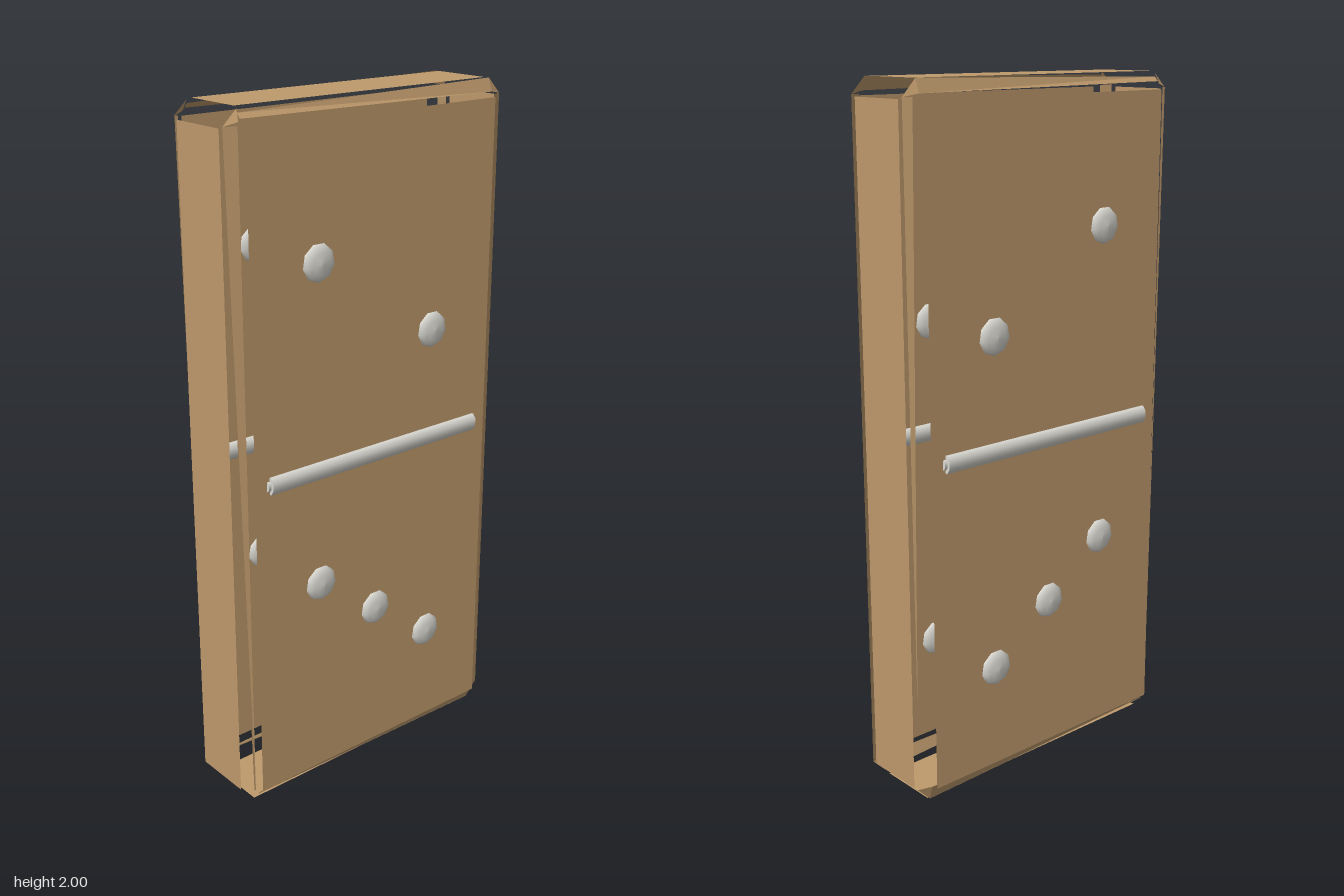
import * as THREE from 'three';

const wood = new THREE.MeshStandardMaterial({ color: 0xbf9a6c, side: THREE.DoubleSide, flatShading: true });
wood.name = 'wood';
const inlay = new THREE.MeshStandardMaterial({ color: 0xdad9d2 });
inlay.name = 'pale inlay';

const HX = 0.473, HZ = 0.137, BEVEL = 0.046; // half width, half depth, edge gap
const IX = HX - BEVEL, IZ = HZ - BEVEL;

function add(group, name, geometry, material) {
  const mesh = new THREE.Mesh(geometry, material);
  mesh.name = name;
  group.add(mesh);
  return mesh;
}

// Flat facet through three or four corners
function facet(corners) {
  const g = new THREE.BufferGeometry();
  g.setAttribute('position', new THREE.Float32BufferAttribute(corners.flat(), 3));
  g.setIndex(corners.length === 4 ? [0, 1, 2, 0, 2, 3] : [0, 1, 2]);
  g.computeVertexNormals();
  return g;
}

// Loose chamfer slivers around one face; s is the face's z side
function chamfers(s) {
  const g = new THREE.Group();
  g.name = s > 0 ? 'frontChamfers' : 'backChamfers';
  const o = 0.106 * s, i = 0.119 * s; // outer and inner depth
  const strips = {
    topChamfer: [[-0.43, 1.985, o], [0.43, 2, o], [0.43, 1.963, i], [-0.43, 1.972, i]],
    bottomChamfer: [[-0.43, 0.035, i], [0.43, 0.05, i], [0.43, 0.006, o], [-0.43, 0.032, i]],
    topRightCorner: [[0.43, 2, o], [0.473, 1.955, o], [0.43, 1.963, i]],
    topLeftCorner: [[-0.473, 1.955, o], [-0.43, 1.995, o], [-0.435, 1.965, i]],
    bottomRightCorner: [[0.43, 0.006, o], [0.473, 0.05, o], [0.43, 0.05, i]],
  };
  if (s > 0) {
    strips.rightChamfer = [[0.44, 1.955, i], [0.473, 1.955, o], [0.473, 0.05, o], [0.43, 0.05, i]];
    strips.leftChamfer = [[-0.473, 1.955, o], [-0.437, 1.955, i], [-0.44, 0.05, i], [-0.445, 0.05, i]];
  } else {
    strips.rightChamfer = [[0.45, 1.955, i], [0.473, 1.955, o], [0.467, 0.28, o]];
    strips.leftChamfer = [[-0.46, 1.955, i], [-0.45, 1.955, i], [-0.445, 0.05, i]];
  }
  for (const [name, corners] of Object.entries(strips)) add(g, name, facet(corners), wood);
  return g;
}

// Shallow lens-shaped pip, axis along z
function pipGeometry() {
  const profile = [[0, -0.018], [0.03, -0.015], [0.047, -0.008], [0.053, 0], [0.047, 0.008], [0.03, 0.015], [0, 0.018]]
    .map(([r, y]) => new THREE.Vector2(r, y));
  return new THREE.LatheGeometry(profile, 9).rotateX(Math.PI / 2);
}

// Slim eight-sided rod along x, flattened in z
function rod(radius, length) {
  return new THREE.CylinderGeometry(radius, radius, length, 8)
    .rotateY(Math.PI / 8).rotateZ(Math.PI / 2).scale(1, 1, 0.65);
}

export function createModel() {
  const model = new THREE.Group();
  model.name = 'dominoTile';

  const pips = [[-0.205, 1.585], [0.205, 1.325], [-0.205, 0.655], [0, 0.505], [0.205, 0.355]];
  const pip = pipGeometry();

  for (const s of [1, -1]) {
    // Large face with its divider and pips
    const face = add(model, s > 0 ? 'frontPanel' : 'backPanel', new THREE.PlaneGeometry(2 * IX, 1.9), wood);
    face.position.set(0, 1, s * HZ);
    if (s < 0) face.rotation.y = Math.PI;

    const divider = new THREE.Group();
    divider.name = 'divider';
    add(divider, 'dividerBar', rod(0.027, 0.758), inlay);
    add(divider, 'dividerEnds', rod(0.015, 0.775), inlay);
    divider.position.set(0, 1.003, s * HZ);
    model.add(divider);

    for (const [x, y] of pips) add(model, 'pip', pip, inlay).position.set(x, y, s * HZ);

    // Narrow side and end panels
    const side = add(model, s > 0 ? 'leftPanel' : 'rightPanel', new THREE.PlaneGeometry(2 * IZ, 1.9), wood);
    side.position.set(s * HX, 1, 0);
    side.rotation.y = s * Math.PI / 2;
    const end = add(model, s > 0 ? 'topPanel' : 'bottomPanel', new THREE.PlaneGeometry(2 * IX, 2 * IZ), wood);
    end.position.set(0, s > 0 ? 2 : 0, 0);
    end.rotation.x = -s * Math.PI / 2;

    model.add(chamfers(s));
  }
  return model;
}
